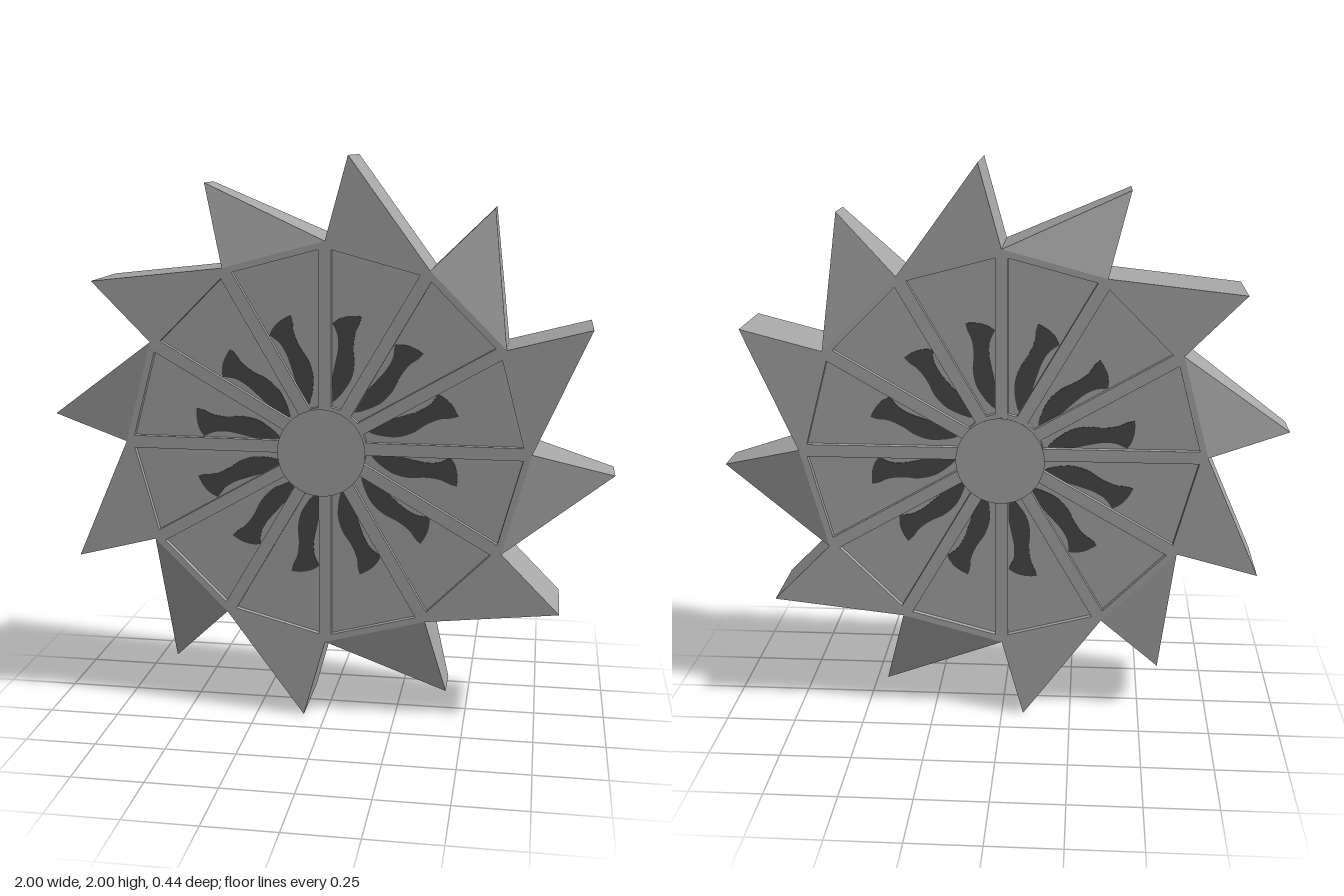
import * as THREE from 'three';

const COUNT = 12, STEP = (Math.PI * 2) / COUNT;
const ROOT = 0.715, TIP = 1.002, HALF = 0.14, FLOOR = 0.12;
const BAR = 0.022, PANEL_IN = 0.145, PANEL_OUT = 0.668;

// point at a radius and a clockwise angle from straight up
const polar = (r, a) => new THREE.Vector2(r * Math.sin(a), r * Math.cos(a));
const spin = (p, a) => p.clone().rotateAround(new THREE.Vector2(), -a);
const points = (pairs) => pairs.map(([x, y]) => new THREE.Vector2(x, y));

// extrusion centred on z = 0
function slab(shape, depth, curveSegments = 4) {
  const g = new THREE.ExtrudeGeometry(shape, { depth, bevelEnabled: false, curveSegments });
  return g.translate(0, 0, -depth / 2);
}

// four-cornered panel between two neighbouring spokes
function panel() {
  const mid = polar(1, STEP / 2);
  const corner = (d) => new THREE.Vector2(BAR, (d - BAR * mid.x) / mid.y);
  const mirror = (p) => mid.clone().multiplyScalar(2 * p.dot(mid)).sub(p);
  const inner = corner(PANEL_IN), outer = corner(PANEL_OUT);
  return [inner, outer, mirror(outer), mirror(inner)];
}

// triangular tooth, optionally thinned toward the tip
function toothGeometry(tapered) {
  const tip = polar(TIP, THREE.MathUtils.degToRad(4.5));
  const g = slab(new THREE.Shape([polar(ROOT, 0), tip, polar(ROOT, STEP)]), HALF * 2);
  if (tapered) {
    const p = g.attributes.position;
    for (let i = 0; i < p.count; i++) {
      if (Math.hypot(p.getX(i), p.getY(i)) > 0.9) p.setZ(i, p.getZ(i) / 2);
    }
    g.computeVertexNormals();
  }
  return g;
}

export function createModel() {
  const model = new THREE.Group();
  model.name = 'toothedWheel';
  const wheel = new THREE.Group();
  wheel.name = 'wheel';
  wheel.position.y = 1.002;
  model.add(wheel);

  const grey = new THREE.MeshStandardMaterial({ color: 0xa6a6a6 });
  grey.name = 'stone grey';
  const dark = new THREE.MeshStandardMaterial({ color: 0x484848 });
  dark.name = 'dark grey';

  const add = (name, geometry, material) => {
    const mesh = new THREE.Mesh(geometry, material);
    mesh.name = name;
    wheel.add(mesh);
    return mesh;
  };

  // twelve-sided core, whose faces are the panel floors
  const outline = Array.from({ length: COUNT }, (_, i) => polar(ROOT, -i * STEP));
  add('core', slab(new THREE.Shape(outline), FLOOR * 2), grey);

  // spoked frame on each face, leaving sunken panels (outline anticlockwise, holes clockwise)
  const frame = new THREE.Shape(outline);
  for (let i = 0; i < COUNT; i++) {
    frame.holes.push(new THREE.Path(panel().map((p) => spin(p, i * STEP))));
  }
  const frameGeometry = slab(frame, HALF - FLOOR);
  for (const side of [1, -1]) {
    add(side > 0 ? 'frontFrame' : 'backFrame', frameGeometry, grey)
      .position.z = side * (HALF + FLOOR) / 2;
  }

  // teeth, alternately full width and tapered
  const teeth = [toothGeometry(false), toothGeometry(true)];

  // curved dark marks, passing through the core to show on both faces
  const mark = new THREE.Shape();
  mark.moveTo(0.024, 0.16);
  mark.lineTo(0.023, 0.25);
  mark.splineThru(points([[0.034, 0.3], [0.043, 0.35], [0.041, 0.395], [0.024, 0.435]]));
  mark.quadraticCurveTo(0.06, 0.468, 0.124, 0.46);
  mark.splineThru(points([[0.118, 0.435], [0.103, 0.4], [0.097, 0.35], [0.1, 0.295],
    [0.088, 0.24], [0.06, 0.195], [0.036, 0.168]]));
  mark.closePath();
  const markGeometry = slab(mark, FLOOR * 2 + 0.006, 14);

  for (let i = 0; i < COUNT; i++) {
    add('tooth', teeth[i % 2], grey).rotation.z = -i * STEP;
    add('curvedMark', markGeometry, dark).rotation.z = -i * STEP;
  }

  // flared hub on each side
  for (const side of [1, -1]) {
    const hub = new THREE.CylinderGeometry(0.153, 0.125, 0.105, 48);
    hub.rotateX(side * Math.PI / 2);
    add(side > 0 ? 'frontHub' : 'backHub', hub, grey).position.z = side * 0.1695;
  }

  return model;
}
